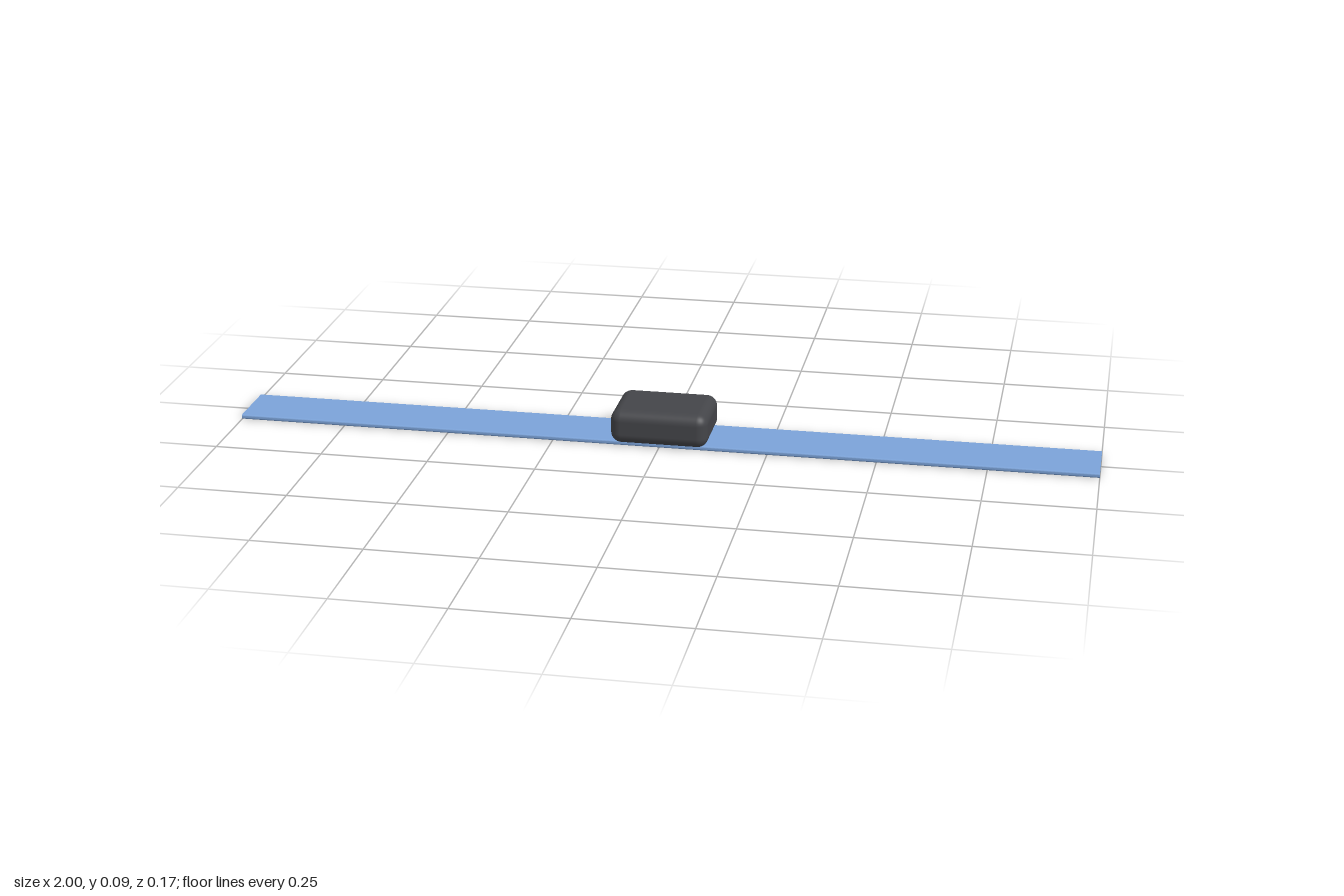
import * as THREE from 'three';
import { RoundedBoxGeometry } from 'three/addons/geometries/RoundedBoxGeometry.js';

// Rounded rectangle centred on the origin
function roundedRect(w, h, r) {
  const x = w / 2 - r, y = h / 2 - r;
  const s = new THREE.Shape();
  s.absarc(x, y, r, 0, Math.PI / 2);
  s.absarc(-x, y, r, Math.PI / 2, Math.PI);
  s.absarc(-x, -y, r, Math.PI, Math.PI * 1.5);
  s.absarc(x, -y, r, Math.PI * 1.5, Math.PI * 2);
  s.closePath();
  return s;
}

export function createModel() {
  const model = new THREE.Group();
  model.name = 'flatStrapWithCase';

  // Long flat strap: thin soft-edged section swept along x
  const length = 2, thickness = 0.011;
  const strapGeometry = new THREE.ExtrudeGeometry(roundedRect(0.142, thickness, 0.004), {
    depth: length, bevelEnabled: false, curveSegments: 6,
  });
  strapGeometry.translate(0, thickness / 2, -length / 2).rotateY(Math.PI / 2);
  const strap = new THREE.Mesh(strapGeometry, new THREE.MeshStandardMaterial({ color: 0x7ba3d9 }));
  strap.name = 'strap';
  model.add(strap);

  // Rounded case sitting on the middle of the strap
  const caseBody = new THREE.Mesh(
    new RoundedBoxGeometry(0.226, 0.08, 0.17, 6, 0.025),
    new THREE.MeshStandardMaterial({ color: 0x444549 })
  );
  caseBody.name = 'caseBody';
  caseBody.position.y = 0.046;
  model.add(caseBody);

  return model;
}
